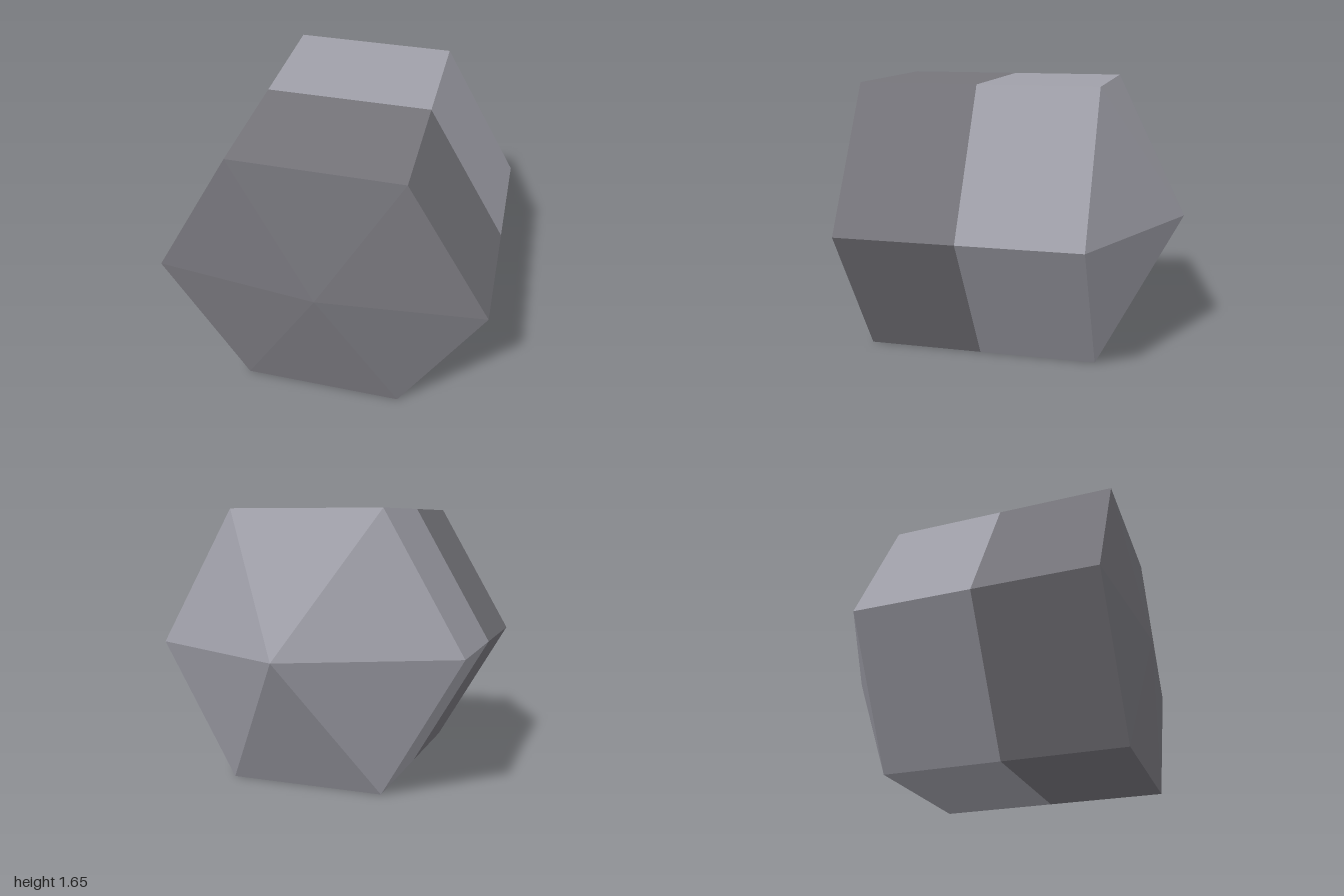
import * as THREE from 'three';

const RADIUS = 0.9526;
const CENTER_Y = 0.825;

// Six-sided section along z, from zBack to zFront, with corners on the x axis
function section(name, zBack, zFront, rBack, rFront, material) {
  const geometry = new THREE.CylinderGeometry(rFront, rBack, zFront - zBack, 6, 1, true, Math.PI / 2);
  geometry.rotateX(Math.PI / 2);
  const mesh = new THREE.Mesh(geometry, material);
  mesh.name = name;
  mesh.position.set(0, CENTER_Y, (zBack + zFront) / 2);
  return mesh;
}

export function createModel() {
  const darkGrey = new THREE.MeshStandardMaterial({ color: 0x76757b, flatShading: true });
  darkGrey.name = 'darkGrey';
  const lightGrey = new THREE.MeshStandardMaterial({ color: 0xa0a0a9, flatShading: true });
  lightGrey.name = 'lightGrey';

  const group = new THREE.Group();
  group.name = 'hexagonalCrystal';
  group.add(
    // Shallow front point and dark front half
    section('frontPoint', 0.905, 1, RADIUS, 0, darkGrey),
    section('frontHalf', 0.19, 0.905, RADIUS, RADIUS, darkGrey),
    // Light back half and steep back point
    section('backHalf', -0.525, 0.19, RADIUS, RADIUS, lightGrey),
    section('backPoint', -1, -0.525, 0, RADIUS, lightGrey),
  );
  return group;
}
